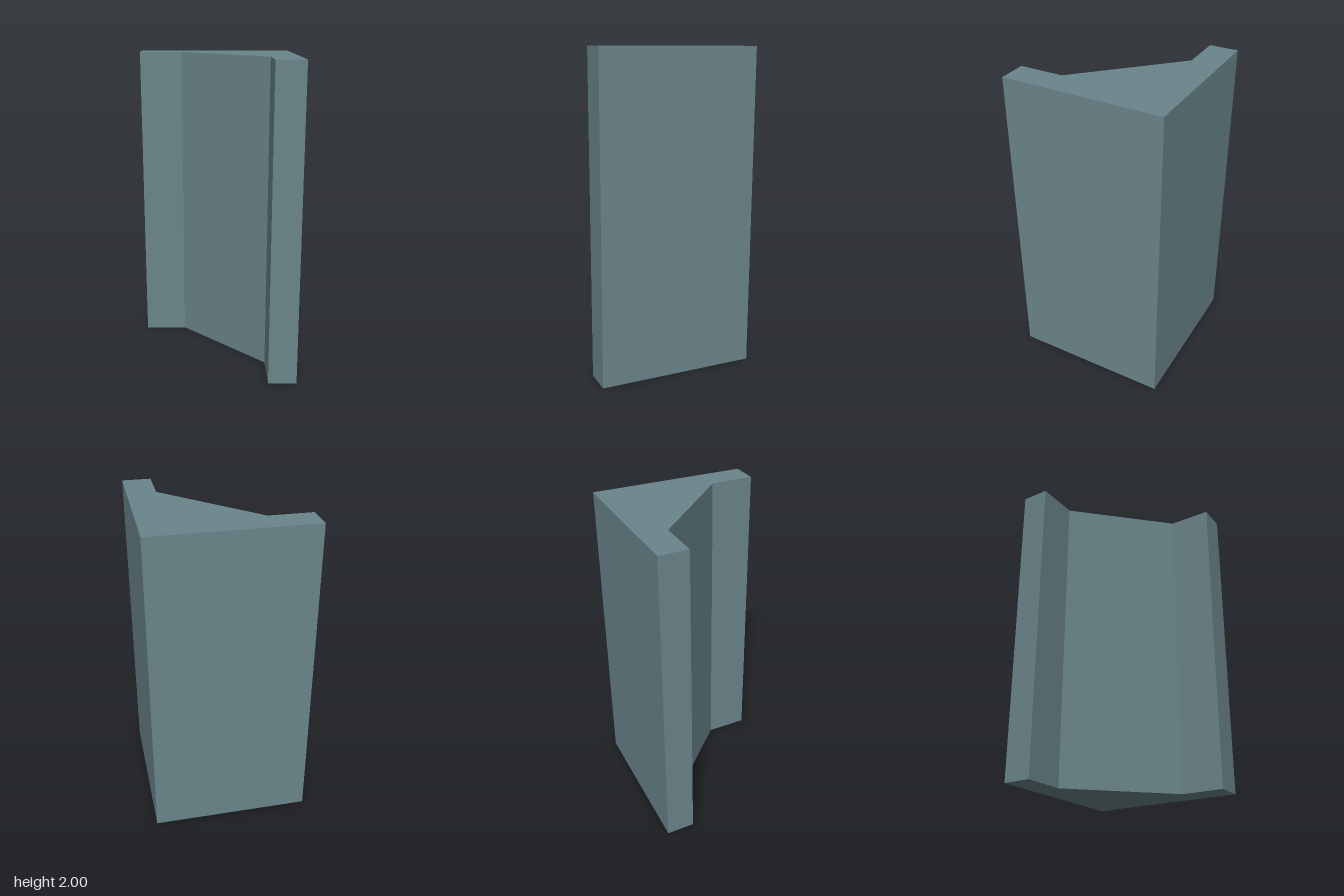
import * as THREE from 'three';

export function createModel() {
  const group = new THREE.Group();
  group.name = 'cornerPillar';

  const half = 0.5;    // half width of the footprint
  const inner = 0.32;  // inner face of each wall leg
  const bend = 0.225;  // where the diagonal meets each leg
  const height = 2;

  // Plan outline as [x, z]: two wall legs joined by a diagonal inner face
  const plan = [
    [-half, -half], [-half, -inner], [-bend, -inner],
    [inner, bend], [inner, half], [half, half], [half, -half],
  ];
  const shape = new THREE.Shape(plan.map(([x, z]) => new THREE.Vector2(x, -z)));

  // Extrude the plan and stand it upright
  const geometry = new THREE.ExtrudeGeometry(shape, { depth: height, bevelEnabled: false });
  geometry.rotateX(-Math.PI / 2);

  const material = new THREE.MeshStandardMaterial({ color: 0x6a858b, flatShading: true });
  const pillar = new THREE.Mesh(geometry, material);
  pillar.name = 'cornerWall';
  group.add(pillar);
  return group;
}
